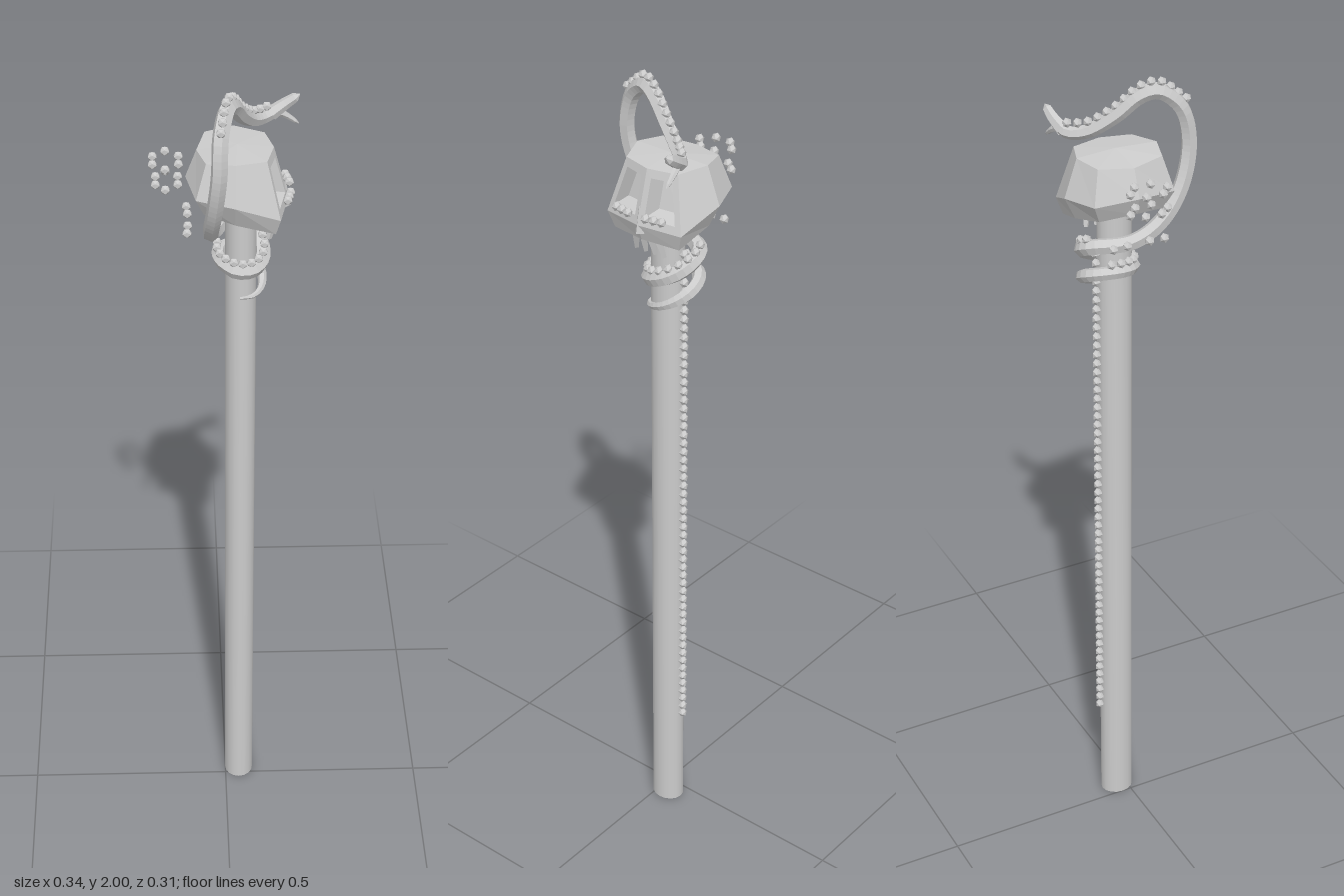
import * as THREE from 'three';

const mat = new THREE.MeshStandardMaterial({ color: 0xcccccc, flatShading: true, side: THREE.DoubleSide });
const smooth = new THREE.MeshStandardMaterial({ color: 0xcccccc });
const V = (x, y, z) => new THREE.Vector3(x, y, z);
const CX = 0.035, CZ = -0.024; // staff axis

function add(parent, name, geo, material = mat) {
  const m = new THREE.Mesh(geo, material);
  m.name = name;
  parent.add(m);
  return m;
}

// tube whose radius follows a rule along its length
function taperedTube(curve, n, sides, radiusAt) {
  const g = new THREE.TubeGeometry(curve, n, 1, sides);
  const p = g.attributes.position, v = V(0, 0, 0);
  for (let i = 0; i <= n; i++) {
    const c = curve.getPointAt(i / n), r = radiusAt(i / n);
    for (let j = 0; j <= sides; j++) {
      const k = i * (sides + 1) + j;
      v.fromBufferAttribute(p, k).sub(c).multiplyScalar(r).add(c);
      p.setXYZ(k, v.x, v.y, v.z);
    }
  }
  return g;
}

function buildSkull() {
  const skull = new THREE.Group();
  skull.name = 'skull';
  // half outline from the back (-x) round to the face (+x): [x, z offset, y]
  const rings = [
    [[-0.065, 0, 1.825], [-0.045, 0.08, 1.83], [0.02, 0.1, 1.835], [0.09, 0.073, 1.83], [0.108, 0, 1.83]],
    [[-0.09, 0, 1.76], [-0.068, 0.1, 1.75], [0.018, 0.132, 1.745], [0.12, 0.105, 1.70], [0.142, 0, 1.705]],
    [[-0.07, 0, 1.715], [-0.05, 0.08, 1.705], [0.02, 0.105, 1.69], [0.11, 0.092, 1.66], [0.128, 0, 1.665]],
  ].map(half => {
    const a = half.map(([x, z, y]) => V(x, y, CZ + z));
    const b = half.slice(1, 4).reverse().map(([x, z, y]) => V(x, y, CZ - z));
    return [...a, ...b];
  });
  const pos = [];
  const tri = (...ps) => ps.forEach(p => pos.push(p.x, p.y, p.z));
  const quad = (a, b, c, d) => { tri(a, b, c); tri(a, c, d); };
  for (let r = 0; r < 2; r++) for (let i = 0; i < 8; i++) {
    const j = (i + 1) % 8;
    const q = [rings[r][i], rings[r + 1][i], rings[r + 1][j], rings[r][j]];
    if (r === 0 && (i === 3 || i === 4)) {
      // eye socket: rim, walls and a sunken floor
      const mid = q.reduce((s, p) => s.add(p), V(0, 0, 0)).multiplyScalar(0.25);
      const rim = q.map(p => p.clone().lerp(mid, 0.3));
      const floor = rim.map(p => p.clone().lerp(mid, 0.2).add(V(-0.04, 0, 0)));
      for (let k = 0; k < 4; k++) {
        const l = (k + 1) % 4;
        quad(q[k], q[l], rim[l], rim[k]);
        quad(rim[k], rim[l], floor[l], floor[k]);
      }
      quad(...floor);
    } else quad(...q);
  }
  const top = V(0.025, 1.838, CZ), bottom = V(0.03, 1.68, CZ);
  for (let i = 0; i < 8; i++) {
    const j = (i + 1) % 8;
    tri(top, rings[0][i], rings[0][j]);
    tri(bottom, rings[2][j], rings[2][i]);
  }
  const g = new THREE.BufferGeometry();
  g.setAttribute('position', new THREE.Float32BufferAttribute(pos, 3));
  g.computeVertexNormals();
  add(skull, 'cranium', g);

  // nose ridge and upper teeth
  const nose = add(skull, 'noseRidge', new THREE.ConeGeometry(0.013, 0.07, 4));
  nose.position.set(0.134, 1.72, CZ);
  for (let i = 0; i < 4; i++) {
    const t = add(skull, 'tooth', new THREE.CylinderGeometry(0.012, 0.006, 0.05, 4));
    t.position.set(0.103, 1.645, CZ + (i - 1.5) * 0.024);
    t.rotation.set((i - 1.5) * -0.12, 0, -0.25);
  }
  return skull;
}

export function createModel() {
  const model = new THREE.Group();
  const staff = add(model, 'staff', new THREE.CylinderGeometry(0.036, 0.036, 1.69, 16), smooth);
  staff.position.set(CX, 0.845, CZ);
  staff.scale.z = 1.15;
  model.add(buildSkull());

  // snake: arched neck, then two turns down the staff
  const neck = [[0.125, 1.878, -0.122], [0.095, 1.865, -0.11], [0.065, 1.872, -0.075], [0.035, 1.91, -0.02],
    [0.015, 1.955, 0.03], [0, 1.965, 0.07], [-0.014, 1.925, 0.118], [-0.018, 1.84, 0.138],
    [-0.028, 1.74, 0.115], [-0.035, 1.665, 0.06], [-0.028, 1.625, -0.01]].map(p => V(...p));
  const coil = (t, dr = 0, dy = 0) => { // t counts turns, starting at the -x side
    const a = t * Math.PI * 2;
    return V(CX - Math.cos(a) * (0.051 + dr), 1.605 - 0.07 * t + dy - 0.022 * Math.cos(a - 3.9),
      -0.042 - Math.sin(a) * (0.06 + dr));
  };
  const pts = [...neck];
  for (let t = 0.16; t <= 1.86; t += 0.1) pts.push(coil(t));
  const body = new THREE.CatmullRomCurve3(pts);
  const snake = new THREE.Group();
  snake.name = 'snake';
  model.add(snake);
  add(snake, 'snakeBody', taperedTube(body, 90, 6, t =>
    t > 0.75 ? 0.003 + 0.013 * Math.min(1, (1 - t) / 0.12) : 0.014 + 0.005 * Math.min(1, t / 0.15)));

  // open mouth
  const upper = new THREE.CatmullRomCurve3([V(0.105, 1.868, -0.115), V(0.135, 1.886, -0.124), V(0.17, 1.908, -0.128)]);
  const lower = new THREE.CatmullRomCurve3([V(0.115, 1.872, -0.118), V(0.14, 1.858, -0.125), V(0.169, 1.836, -0.128)]);
  add(snake, 'upperJaw', taperedTube(upper, 6, 6, t => t > 0.99 ? 0.001 : 0.017 - 0.007 * t));
  add(snake, 'lowerJaw', taperedTube(lower, 6, 6, t => t > 0.99 ? 0.001 : 0.01 - 0.006 * t));

  // faceted beads
  const beadGeo = new THREE.IcosahedronGeometry(0.0115, 0);
  const beads = new THREE.Group();
  beads.name = 'beads';
  model.add(beads);
  const bead = (name, p) => add(beads, name, beadGeo).position.copy(p);

  // hanging string down the back
  for (let i = 0; i < 56; i++) bead('stringBead', V(CX, 0.285 + i * 0.024, -0.071));
  // crest along the neck, on the upper outer side
  const crest = new THREE.CatmullRomCurve3(neck.slice(1, 7).map((p, i) =>
    p.clone().add(V(0, i === 5 ? 0.016 : 0.023, i === 5 ? 0.014 : 0))));
  for (let i = 0; i < 14; i++) bead('crestBead', crest.getPointAt(i / 13));
  // row following the upper turn of the coil
  for (let t = 0.2; t < 1.1; t += 0.06) bead('coilBead', coil(t, 0.004, 0.022));
  // mirrored beads under the eyes and behind the skull
  for (const s of [-1, 1]) {
    for (const [x, d] of [[0.137, 0.064], [0.141, 0.045], [0.145, 0.025]])
      bead('eyeBead', V(x, 1.73, CZ + s * d));
    for (const [x, y, d] of [[-0.163, 1.8, 0.02], [-0.135, 1.8, 0.046], [-0.105, 1.8, 0.02],
      [-0.157, 1.75, 0.02], [-0.135, 1.75, 0.046], [-0.107, 1.75, 0.02],
      [-0.088, 1.65, 0.064], [-0.086, 1.65, 0.028]])
      bead('rearBead', V(x, y, CZ + s * d));
  }
  return model;
}
